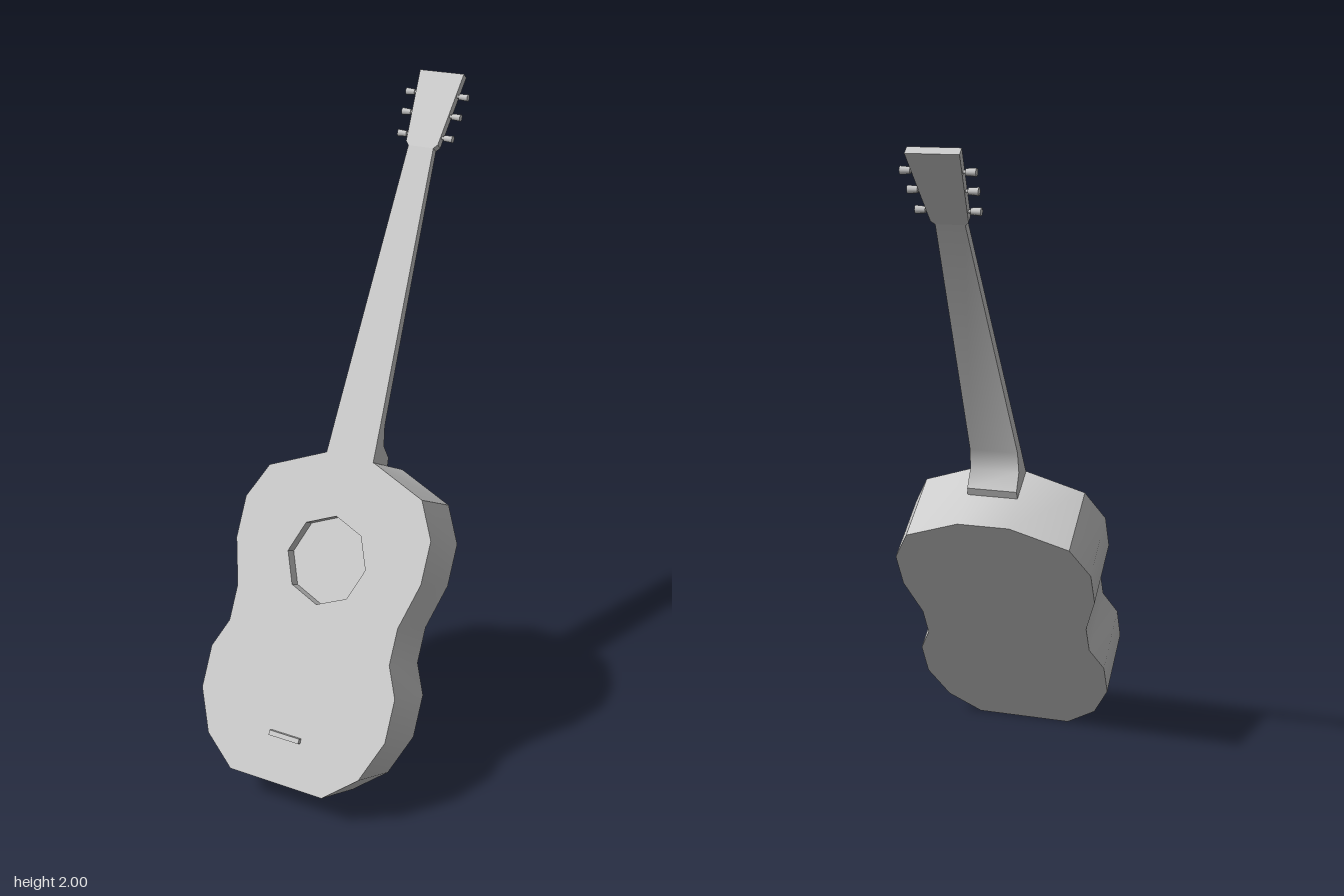
import * as THREE from 'three';
import { mergeGeometries, toCreasedNormals } from 'three/addons/utils/BufferGeometryUtils.js';

const material = new THREE.MeshStandardMaterial({ color: 0xcccccc });

function addMesh(parent, name, geometry, x = 0, y = 0, z = 0) {
  const mesh = new THREE.Mesh(geometry, material);
  mesh.name = name;
  mesh.position.set(x, y, z);
  parent.add(mesh);
  return mesh;
}

// Wall along a closed counter-clockwise outline, facing outward
function wall(points, z0, z1) {
  const pos = [];
  points.forEach((a, i) => {
    const b = points[(i + 1) % points.length];
    pos.push(a.x, a.y, z0, b.x, b.y, z0, b.x, b.y, z1);
    pos.push(a.x, a.y, z0, b.x, b.y, z1, a.x, a.y, z1);
  });
  const g = new THREE.BufferGeometry();
  g.setAttribute('position', new THREE.Float32BufferAttribute(pos, 3));
  return g;
}

function flat(points, z, holePoints) {
  const shape = new THREE.Shape(points);
  if (holePoints) shape.holes.push(new THREE.Path(holePoints));
  const g = new THREE.ShapeGeometry(shape).toNonIndexed();
  g.deleteAttribute('uv');
  g.deleteAttribute('normal');
  return g.translate(0, 0, z);
}

function mirrored(half) {
  const right = half.map(([x, y]) => new THREE.Vector2(x, y));
  const left = half.map(([x, y]) => new THREE.Vector2(-x, y)).reverse();
  return [...right, ...left];
}

// Hollow-looking body: front with octagonal sound hole, recess, sides and back
function bodyGeometry() {
  const depth = 0.235, recess = 0.04;
  const outline = mirrored([
    [0.155, 0], [0.255, 0.083], [0.31, 0.21], [0.31, 0.34], [0.27, 0.43],
    [0.27, 0.54], [0.31, 0.68], [0.31, 0.81], [0.255, 0.92], [0.08, 0.995],
  ]);
  const hole = Array.from({ length: 8 }, (_, i) => {
    const a = i * Math.PI / 4;
    return new THREE.Vector2(0.13 * Math.cos(a), 0.68 + 0.135 * Math.sin(a));
  });
  const back = flat(outline, 0).rotateY(Math.PI).translate(0, 0, -depth);
  const merged = mergeGeometries([
    flat(outline, 0, hole),
    back,
    wall(outline, -depth, 0),
    wall([...hole].reverse(), -recess, 0),
    flat(hole, -recess),
  ]);
  return toCreasedNormals(merged, 0.7);
}

// Neck: a box bent to sections of [height, half width, back depth]
function neckGeometry() {
  const sections = [
    [0.995, 0.078, -0.115], [1.02, 0.077, -0.111], [1.05, 0.076, -0.058],
    [1.11, 0.074, -0.034], [1.95, 0.041, -0.025],
  ];
  const n = sections.length - 1;
  const g = new THREE.BoxGeometry(1, 1, 1, 1, n, 1);
  const p = g.attributes.position;
  for (let i = 0; i < p.count; i++) {
    const [y, half, back] = sections[Math.round((p.getY(i) + 0.5) * n)];
    p.setXYZ(i, Math.sign(p.getX(i)) * half, y, p.getZ(i) > 0 ? 0 : back);
  }
  return toCreasedNormals(g, 0.7);
}

function createHeadstock() {
  const head = new THREE.Group();
  head.name = 'headstock';
  const t = 0.025;
  const shape = new THREE.Shape(mirrored([[0.041, 0], [0.052, 0.012], [0.072, 0.243]]));
  const plate = new THREE.ExtrudeGeometry(shape, { depth: t, bevelEnabled: false });
  addMesh(head, 'headPlate', plate.translate(0, 0, -t));

  // Three tuning pegs on each side
  const shaft = new THREE.CylinderGeometry(0.005, 0.005, 0.02, 8).rotateZ(-Math.PI / 2);
  const knob = new THREE.CylinderGeometry(0.011, 0.009, 0.028, 8).rotateZ(-Math.PI / 2);
  for (const side of [1, -1]) {
    for (const y of [0.04, 0.11, 0.175]) {
      const edge = 0.051 + 0.086 * y;
      const peg = new THREE.Group();
      peg.name = side > 0 ? 'leftTuningPeg' : 'rightTuningPeg';
      peg.position.set(side * edge, y, -t / 2);
      if (side < 0) peg.rotation.y = Math.PI;
      addMesh(peg, 'pegShaft', shaft, 0.002);
      addMesh(peg, 'pegKnob', knob, 0.021);
      head.add(peg);
    }
  }
  return head;
}

export function createModel() {
  const model = new THREE.Group();
  model.name = 'guitar';

  // Everything leans back by 30 degrees
  const leaning = new THREE.Group();
  leaning.name = 'leaningGuitar';
  leaning.position.set(0, 0.118, 0.57);
  leaning.rotation.x = -Math.PI / 6;
  model.add(leaning);

  addMesh(leaning, 'body', bodyGeometry());
  addMesh(leaning, 'bridge', new THREE.BoxGeometry(0.1, 0.015, 0.02), 0, 0.142, 0.005);
  addMesh(leaning, 'neck', neckGeometry());

  const head = createHeadstock();
  head.position.y = 1.95;
  head.rotation.x = -THREE.MathUtils.degToRad(7);
  leaning.add(head);
  return model;
}
